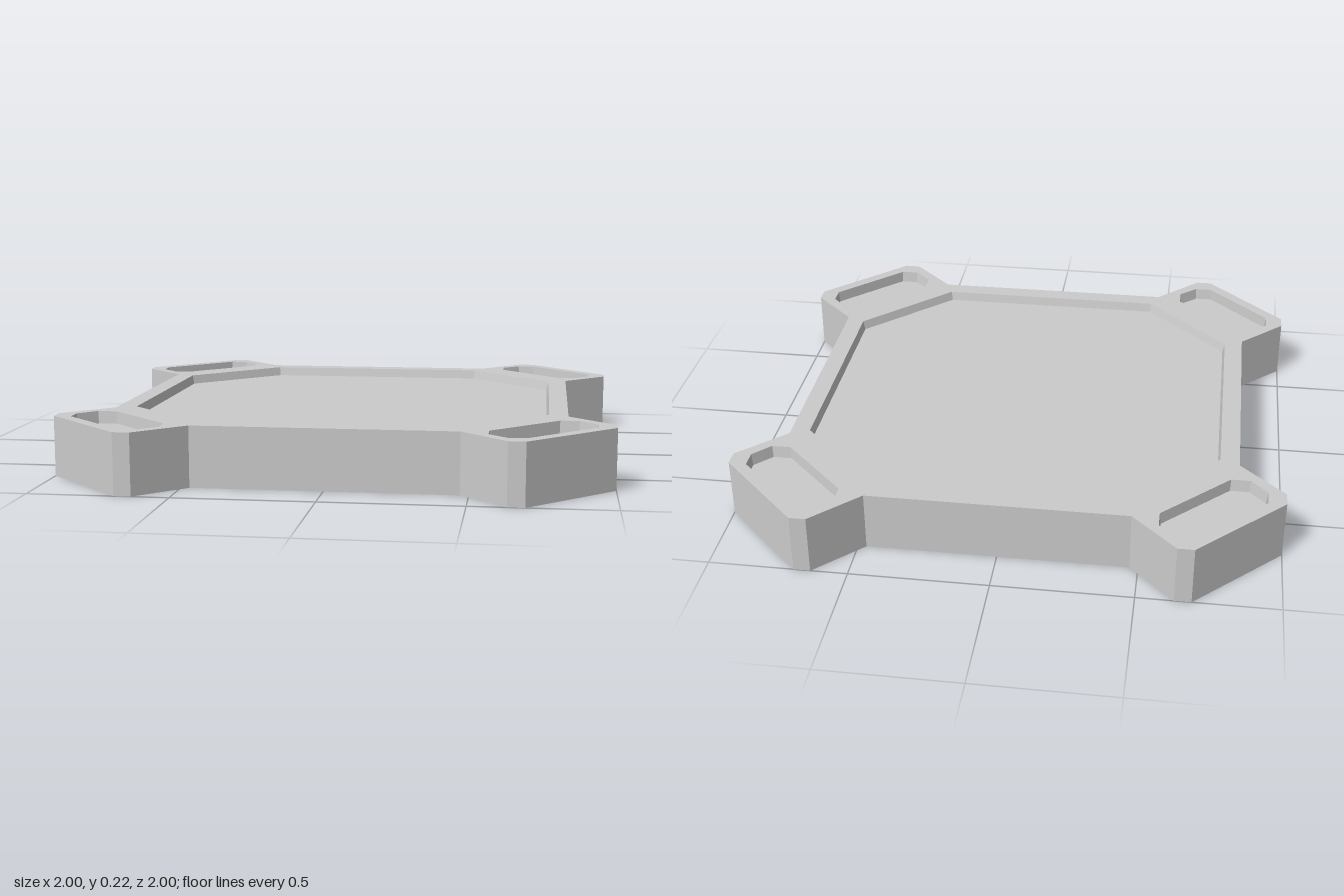
import * as THREE from 'three';

const TOP = 0.22;
const RECESS_DEPTH = 0.035;
const POCKET_DEPTH = 0.045;

const material = new THREE.MeshStandardMaterial({
  color: 0xcccccc, flatShading: true, side: THREE.DoubleSide,
});

const points = (list) => list.map(([x, y]) => new THREE.Vector2(x, y));
const turned = (loop, k) =>
  loop.map((p) => p.clone().rotateAround(new THREE.Vector2(), (k * Math.PI) / 2));
// Repeats one corner's points round all four corners
const allCorners = (corner) => [0, 1, 2, 3].flatMap((k) => turned(corner, k));

// Shrinks a loop by a small amount towards its own centre
function shrink(loop, factor) {
  const c = loop.reduce((s, p) => s.add(p), new THREE.Vector2()).divideScalar(loop.length);
  return loop.map((p) => p.clone().sub(c).multiplyScalar(factor).add(c));
}

// Flat horizontal panel, facing up
function panel(name, loop, y, holes = []) {
  const shape = new THREE.Shape(loop);
  shape.holes = holes.map((h) => new THREE.Path(h));
  const geometry = new THREE.ShapeGeometry(shape).rotateX(-Math.PI / 2).translate(0, y, 0);
  const mesh = new THREE.Mesh(geometry, material);
  mesh.name = name;
  return mesh;
}

// Strip of wall joining loop a to loop b; faces outward when a is the lower one
function wall(name, a, ya, b, yb) {
  const v = [];
  a.forEach((p, i) => {
    const j = (i + 1) % a.length;
    const a0 = [p.x, ya, -p.y], a1 = [a[j].x, ya, -a[j].y];
    const b0 = [b[i].x, yb, -b[i].y], b1 = [b[j].x, yb, -b[j].y];
    v.push(...a0, ...a1, ...b1, ...a0, ...b1, ...b0);
  });
  const geometry = new THREE.BufferGeometry();
  geometry.setAttribute('position', new THREE.Float32BufferAttribute(v, 3));
  geometry.computeVertexNormals();
  const mesh = new THREE.Mesh(geometry, material);
  mesh.name = name;
  return mesh;
}

export function createModel() {
  const model = new THREE.Group();
  model.name = 'squarePanelWithCornerLugs';

  // Square body with a chamfered lug on each corner
  const outline = allCorners(points([
    [0.835, 0.47], [1, 0.633], [1, 0.693], [0.693, 1], [0.633, 1], [0.47, 0.835],
  ]));
  // Eight-sided recess in the middle
  const recessRim = allCorners(points([[0.765, 0.44], [0.44, 0.765]]));
  const recessFloor = shrink(recessRim, 0.99);
  // Long chamfered pocket in each lug
  const pocket = points([
    [0.805, 0.565], [0.875, 0.565], [0.935, 0.63], [0.935, 0.695],
    [0.695, 0.935], [0.63, 0.935], [0.565, 0.875], [0.565, 0.805],
  ]);
  const pockets = [0, 1, 2, 3].map((k) => turned(pocket, k));

  // Open-bottomed shell
  model.add(
    wall('outerWall', outline, 0, outline, TOP),
    panel('topRim', outline, TOP, [recessRim, ...pockets]),
    wall('recessWall', recessRim, TOP, recessFloor, TOP - RECESS_DEPTH),
    panel('recessFloor', recessFloor, TOP - RECESS_DEPTH),
  );

  pockets.forEach((rim) => {
    const floor = shrink(rim, 0.975);
    const group = new THREE.Group();
    group.name = 'lugPocket';
    group.add(
      wall('pocketWall', rim, TOP, floor, TOP - POCKET_DEPTH),
      panel('pocketFloor', floor, TOP - POCKET_DEPTH),
    );
    model.add(group);
  });
  return model;
}
